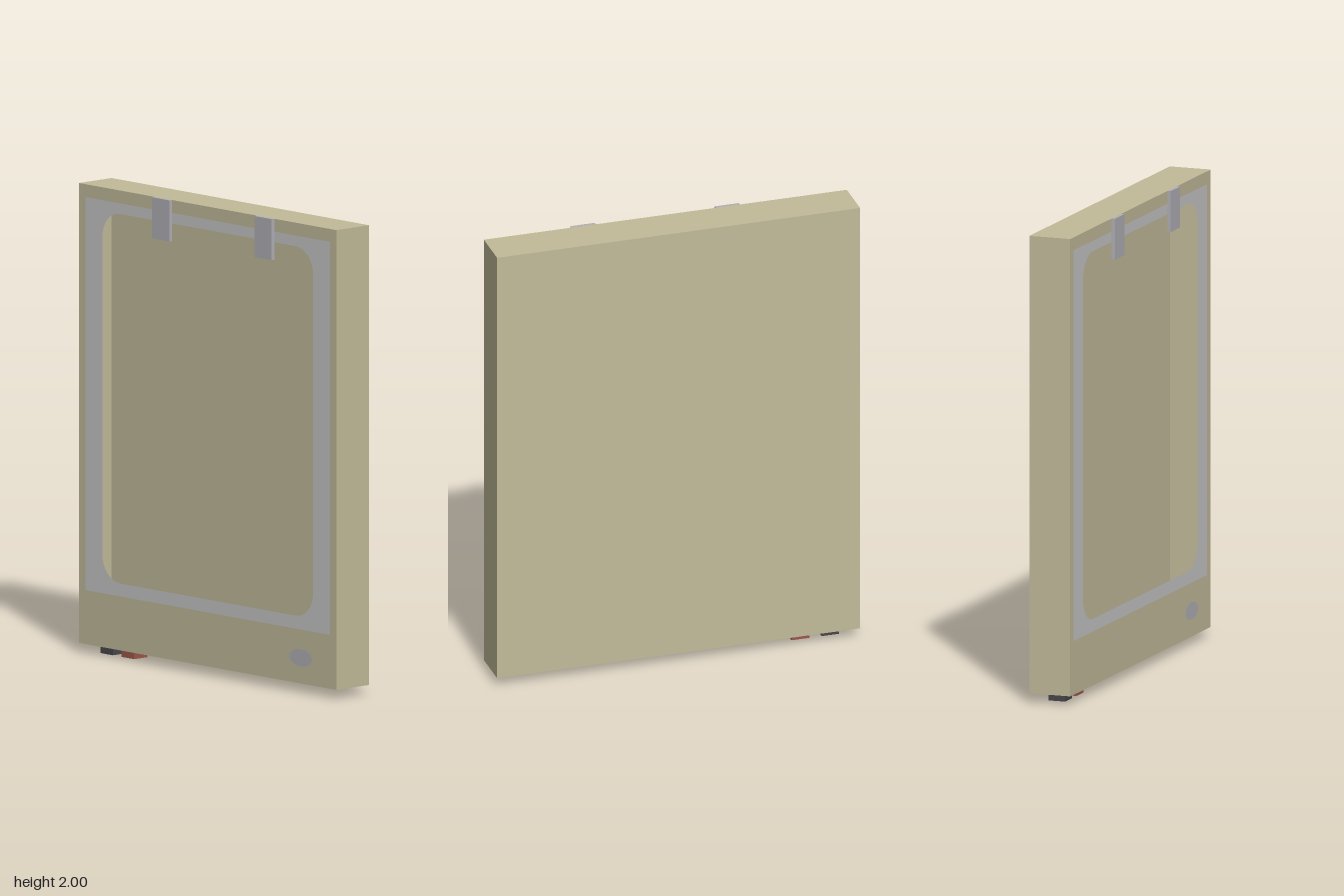
import * as THREE from 'three';

const paint = (name, color, extra = {}) => {
  const m = new THREE.MeshStandardMaterial({ color, ...extra });
  m.name = name;
  return m;
};

export function createModel() {
  const group = new THREE.Group();
  const beige = paint('beige', 0xc2bb9a, { side: THREE.DoubleSide });
  const lightGrey = paint('light grey', 0xc6c6c6, { side: THREE.DoubleSide });
  const steel = paint('steel grey', 0xb0b0b6);
  const red = paint('red', 0x9a5849);
  const black = paint('charcoal', 0x4a464c);

  const X0 = -0.085, X1 = 0.1, Y0 = 0.04, Y1 = 2, Z = 0.8;

  const add = (name, geometry, material) => {
    const mesh = new THREE.Mesh(geometry, material);
    mesh.name = name;
    group.add(mesh);
    return mesh;
  };

  const box = (name, material, x0, x1, y0, y1, z0, z1) => {
    const g = new THREE.BoxGeometry(x1 - x0, y1 - y0, z1 - z0);
    g.translate((x0 + x1) / 2, (y0 + y1) / 2, (z0 + z1) / 2);
    return add(name, g, material);
  };

  // Outline in the (z, y) plane, with optional rounded corners
  const outline = (w, y0, y1, r = 0) => {
    const s = new THREE.Shape();
    if (!r) {
      s.moveTo(-w, y0).lineTo(w, y0).lineTo(w, y1).lineTo(-w, y1);
    } else {
      const q = Math.PI / 2;
      s.absarc(w - r, y0 + r, r, -q, 0);
      s.absarc(w - r, y1 - r, r, 0, q);
      s.absarc(-w + r, y1 - r, r, q, 2 * q);
      s.absarc(-w + r, y0 + r, r, 2 * q, 3 * q);
    }
    s.closePath();
    return s;
  };

  // Flat panel facing -x
  const panel = (name, shape, material, x, segments = 4) => {
    const g = new THREE.ShapeGeometry(shape, segments);
    g.rotateY(-Math.PI / 2);
    g.translate(x, 0, 0);
    return add(name, g, material);
  };

  // Thin-walled casing, open on the -x side
  const casing = box('casing', beige, X0, X1, Y0, Y1, -Z, Z);
  const index = Array.from(casing.geometry.index.array);
  index.splice(6, 6);
  casing.geometry.setIndex(index);
  casing.geometry.clearGroups();

  // Beige rim around the grey bezel
  const rim = outline(Z, Y0, Y1);
  rim.holes.push(outline(0.76, 0.27, 1.945));
  panel('frontRim', rim, beige, X0);

  // Grey bezel with a rounded opening into the casing
  const bezel = outline(0.76, 0.27, 1.945);
  bezel.holes.push(outline(0.655, 0.325, 1.9, 0.11));
  panel('bezel', bezel, lightGrey, X0);

  // Oval badge below the opening
  const oval = new THREE.Shape();
  oval.absellipse(0.58, 0.15, 0.07, 0.037, 0, Math.PI * 2);
  panel('ovalBadge', oval, steel, X0 - 0.002, 12);

  // Two clips at the top edge
  for (const z of [-0.275, 0.36]) {
    box('topClip', steel, -0.1, X0, 1.825, 2, z - 0.054, z + 0.054);
  }

  // Buttons on the underside
  box('redButton', red, -0.032, 0.044, 0, Y0, -0.595, -0.515);
  box('blackButton', black, -0.032, 0.044, 0, Y0, -0.725, -0.648);

  return group;
}
